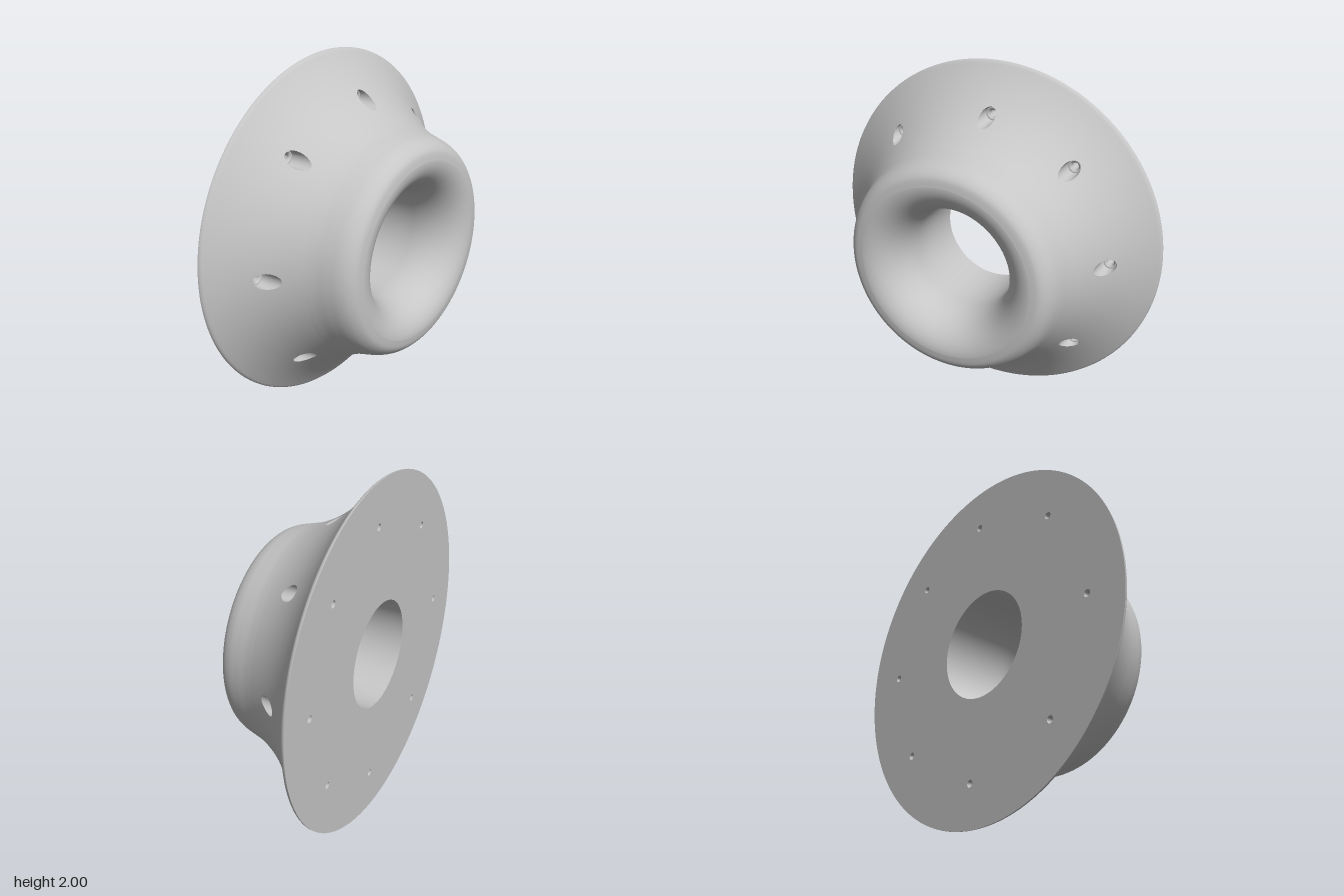
import * as THREE from 'three';

const BACK = -0.326, PITCH = 0.76, BAND = 0.08, SPREAD = 0.1, BORE = 0.305;
const HOLE = 0.02, SEAT = 0.03, RECESS = 0.044, FLOOR = -0.16;
const SEG = 192, N = 64;
const ANGLES = [0, 48.7, 93.8, 133.9, 177, 219.7, 264.3, 311.2].map(THREE.MathUtils.degToRad);

// height of the flared face at a given radius, and its slope
const flare = r => -0.335 * Math.log((r - 0.505) / 0.195);
const slope = r => -0.335 / (r - 0.505);
const polar = (r, t) => [r * Math.sin(t), r * Math.cos(t)]; // y, z about the axis
const onFlare = ([y, z]) => [flare(Math.hypot(y, z)), y, z];

// joins rings of points, listed from the deepest or innermost outwards
function loft(rings, closed, flared) {
  const n = rings[0].length, index = [];
  for (let j = 0; j < rings.length - 1; j++) {
    for (let i = 0; i < (closed ? n : n - 1); i++) {
      const k = (i + 1) % n, a = j * n, b = a + n;
      index.push(a + i, a + k, b + i, a + k, b + k, b + i);
    }
  }
  const g = new THREE.BufferGeometry();
  const pts = rings.flat();
  g.setAttribute('position', new THREE.Float32BufferAttribute(pts.flat(), 3));
  g.setIndex(index);
  if (flared) {
    const normals = pts.map(([, y, z]) => {
      const r = Math.hypot(y, z), s = slope(r);
      return new THREE.Vector3(1, -s * y / r, -s * z / r).normalize().toArray();
    });
    g.setAttribute('normal', new THREE.Float32BufferAttribute(normals.flat(), 3));
  } else g.computeVertexNormals();
  return g;
}

export function createModel() {
  const model = new THREE.Group();
  const body = new THREE.Group();
  body.position.y = 1;
  model.add(body);
  const grey = new THREE.MeshStandardMaterial({ color: 0xc6c6c6 });
  grey.name = 'grey';
  const add = (name, g) => {
    const m = new THREE.Mesh(g, grey);
    m.name = name;
    body.add(m);
  };
  const lathe = (name, pts) => add(name,
    new THREE.LatheGeometry(pts.map(p => new THREE.Vector2(...p)), SEG).rotateZ(-Math.PI / 2));
  const flareProfile = (from, to, steps) => Array.from({ length: steps + 1 }, (_, i) => {
    const r = from + (to - from) * i / steps;
    return [r, flare(r)];
  });

  // rounded outer rim and the flare down to the bolt circle, slightly overlapping it
  lathe('outerFlange', [[1, BACK], [1, -0.321], [0.997, -0.313], [0.992, -0.307],
    ...flareProfile(0.985, PITCH + BAND - 0.004, 20)]);

  // neck and rounded lip, then the bell mouth and straight bore
  const neck = [[0.66, flare(0.66)], [0.641, 0.126], [0.624, 0.188], [0.608, 0.244],
    [0.585, 0.286], [0.55, 0.315], [0.5, 0.325]].map(p => new THREE.Vector2(...p));
  const profile = flareProfile(PITCH - BAND + 0.004, 0.664, 5);
  profile.push(...new THREE.SplineCurve(neck).getPoints(56).map(p => [p.x, p.y]));
  for (let i = 1; i <= 28; i++) {
    const a = i / 28 * Math.PI / 2;
    profile.push([0.5 - (0.5 - BORE) * Math.sin(a), 0.05 + 0.275 * Math.cos(a)]);
  }
  profile.push([BORE, 0.03], [BORE, BACK]);
  lathe('neckAndBore', profile);

  // flat back with bore and bolt openings
  const back = new THREE.Shape().absarc(0, 0, 1, 0, Math.PI * 2);
  const punch = (x, y, r) => back.holes.push(new THREE.Path().absarc(x, y, r, 0, Math.PI * 2, true));
  punch(0, 0, BORE);
  for (const t of ANGLES) {
    const [y, z] = polar(PITCH, t);
    punch(z, y, HOLE);
  }
  add('backFace', new THREE.ShapeGeometry(back, SEG / 2).rotateY(-Math.PI / 2).translate(BACK, 0, 0));

  ANGLES.forEach((t0, h) => {
    // plain flare between this hole and the next
    const start = t0 + SPREAD;
    const end = (h < ANGLES.length - 1 ? ANGLES[h + 1] : Math.PI * 2) - SPREAD;
    const band = [];
    for (let j = 0; j <= 12; j++) {
      const r = PITCH - BAND + 2 * BAND * j / 12;
      band.push(Array.from({ length: 25 }, (_, i) => onFlare(polar(r, start + (end - start) * i / 24))));
    }
    add('flareSection', loft(band, false, true));

    // flare around the hole, blending from a circle to the edge of the section
    const [cy, cz] = polar(PITCH, t0);
    const circle = radius => Array.from({ length: N }, (_, i) => {
      const [y, z] = polar(radius, t0 + i / N * Math.PI * 2);
      return [cy + y, cz + z];
    });
    const edge = circle(RECESS);
    const outer = edge.map((_, i) => {
      const a = i / N * Math.PI * 2, c = Math.cos(a), s = Math.sin(a);
      const m = Math.max(Math.abs(c), Math.abs(s));
      return polar(PITCH + BAND * c / m, t0 + SPREAD * s / m);
    });
    const surround = [];
    for (let j = 0; j <= 8; j++) {
      surround.push(edge.map(([y, z], i) => onFlare([
        y + (outer[i][0] - y) * j / 8, z + (outer[i][1] - z) * j / 8])));
    }
    add('holeSurround', loft(surround, true, true));

    // through hole, shallow countersink, seat and tapered recess wall
    const ring = (radius, x) => circle(radius).map(p => [x, ...p]);
    add('boltHole', loft([ring(HOLE, BACK), ring(HOLE, FLOOR - 0.008)], true));
    add('countersink', loft([ring(HOLE, FLOOR - 0.008), ring(SEAT, FLOOR)], true));
    add('boltSeat', loft([ring(SEAT, FLOOR), ring(RECESS - 0.007, FLOOR)], true));
    add('recessWall', loft([ring(RECESS - 0.007, FLOOR), edge.map(onFlare)], true));
  });

  return model;
}
